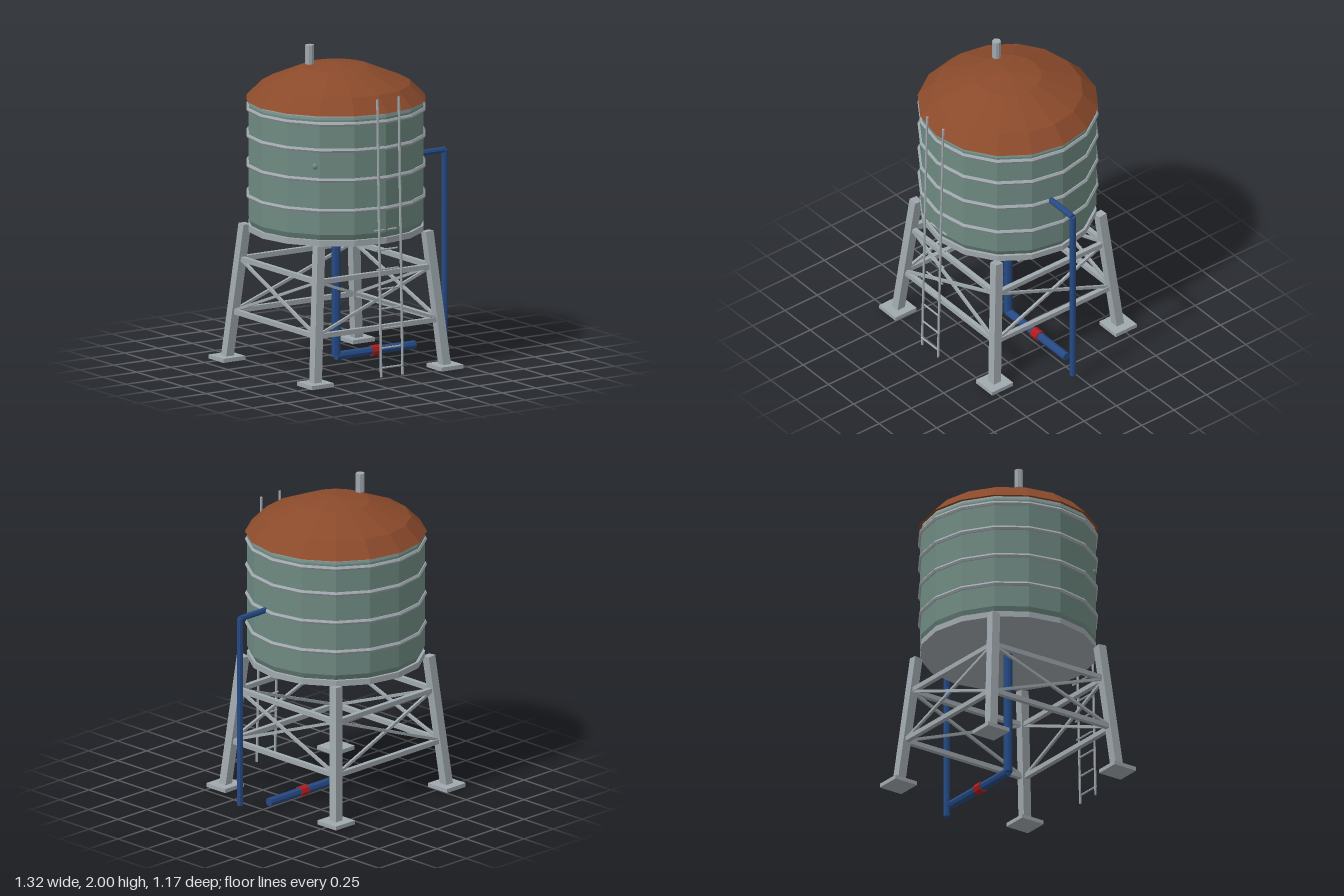
import * as THREE from 'three';

const mat = (color) => new THREE.MeshStandardMaterial({ color, flatShading: true });

export function createModel() {
  const steel = mat(0xa0a9ae), teal = mat(0x6f8a82), rust = mat(0x8b4a2b);
  const blue = mat(0x264a85), red = mat(0xb01c1c);
  const model = new THREE.Group();
  model.name = 'waterTower';

  // Everything that belongs to the tower proper is centred on the tank axis
  const tower = new THREE.Group();
  tower.name = 'tower';
  tower.position.set(-0.105, 0, -0.025);
  model.add(tower);

  const V = (x, y, z) => new THREE.Vector3(x, y, z);
  const add = (parent, name, geometry, material, x = 0, y = 0, z = 0) => {
    const mesh = new THREE.Mesh(geometry, material);
    mesh.name = name;
    mesh.position.set(x, y, z);
    parent.add(mesh);
    return mesh;
  };
  // Stretch a geometry of height |b - a| along the line from a to b
  const between = (parent, name, a, b, makeGeometry, material) => {
    const d = b.clone().sub(a);
    const mesh = add(parent, name, makeGeometry(d.length()), material);
    mesh.position.copy(a).lerp(b, 0.5);
    mesh.quaternion.setFromUnitVectors(V(0, 1, 0), d.normalize());
    return mesh;
  };
  const beam = (parent, name, a, b, w, material = steel) =>
    between(parent, name, a, b, (l) => new THREE.BoxGeometry(w, l, w), material);
  const pipe = (parent, name, a, b, r, material, sides = 8) =>
    between(parent, name, a, b, (l) => new THREE.CylinderGeometry(r, r, l, sides), material);
  const lathe = (points) =>
    new THREE.LatheGeometry(points.map(([x, y]) => new THREE.Vector2(x, y)), 16);

  // Tank, hoops, base and roof
  add(tower, 'tank', lathe([[0, 0.875], [0.525, 0.88], [0.542, 0.915], [0.542, 1.63], [0.525, 1.665], [0, 1.665]]), teal);
  for (const y of [1.065, 1.255, 1.44, 1.605]) {
    const hoop = add(tower, 'hoop', new THREE.TorusGeometry(0.541, 0.015, 6, 16), steel, 0, y, 0);
    hoop.rotation.x = Math.PI / 2;
  }
  add(tower, 'topRim', new THREE.CylinderGeometry(0.535, 0.535, 0.03, 16), steel, 0, 1.645, 0);
  add(tower, 'tankBase', new THREE.CylinderGeometry(0.543, 0.543, 0.037, 16), steel, 0, 0.862, 0);
  add(tower, 'roof', lathe([[0, 1.655], [0.555, 1.656], [0.459, 1.752], [0.206, 1.857], [0, 1.885]]), rust);

  // Legs with foot plates; the leg offset shrinks with height
  const offset = (y) => 0.478 - 0.092 * y;
  for (const sx of [-1, 1]) for (const sz of [-1, 1]) {
    const at = (y) => V(sx * offset(y), y, sz * offset(y));
    beam(tower, 'leg', at(0.015), at(0.85), 0.056);
    add(tower, 'footPlate', new THREE.BoxGeometry(0.162, 0.025, 0.162), steel, sx * 0.478, 0.0125, sz * 0.478);
  }

  // Rails and cross braces, one set per side
  const low = 0.303, high = 0.632;
  for (let i = 0; i < 4; i++) {
    const side = new THREE.Group();
    side.name = 'sideBracing';
    side.rotation.y = i * Math.PI / 2;
    tower.add(side);
    const at = (s, y) => V(s * offset(y), y, offset(y));
    for (const y of [low, high]) beam(side, 'rail', at(-1, y), at(1, y), 0.03);
    for (const s of [-1, 1]) beam(side, 'crossBrace', at(-s, low), at(s, high), 0.017);
  }

  // Ladder
  const ladder = new THREE.Group();
  ladder.name = 'ladder';
  model.add(ladder);
  for (const x of [-0.184, -0.026])
    pipe(ladder, 'ladderRail', V(x, 0.03, 0.578), V(x, 1.753, 0.538), 0.008, steel, 6);
  for (let i = 0; i < 8; i++) {
    const y = 0.09 + i * 0.12, z = 0.592 - 0.0875 * y;
    pipe(ladder, 'rung', V(-0.184, y, z), V(-0.026, y, z), 0.006, steel, 6);
  }

  // Supply pipe with valve
  pipe(model, 'riserPipe', V(-0.105, 0.048, -0.025), V(-0.105, 0.86, -0.025), 0.027, blue);
  pipe(model, 'supplyPipe', V(-0.105, 0.048, -0.025), V(0.474, 0.048, -0.025), 0.027, blue);
  pipe(model, 'valve', V(0.153, 0.048, -0.025), V(0.213, 0.048, -0.025), 0.034, red);

  // Overflow pipe
  pipe(model, 'overflowArm', V(0.4, 1.257, 0.057), V(0.64, 1.257, 0.057), 0.019, blue);
  pipe(model, 'overflowDrop', V(0.64, 0.05, 0.057), V(0.64, 1.257, 0.057), 0.019, blue);

  // Roof vent and small side stud
  pipe(model, 'vent', V(-0.272, 1.88, -0.066), V(-0.272, 2, -0.066), 0.027, steel);
  add(model, 'tankStud', new THREE.SphereGeometry(0.02, 8, 6), teal, -0.5, 1.34, 0.33);
  return model;
}
